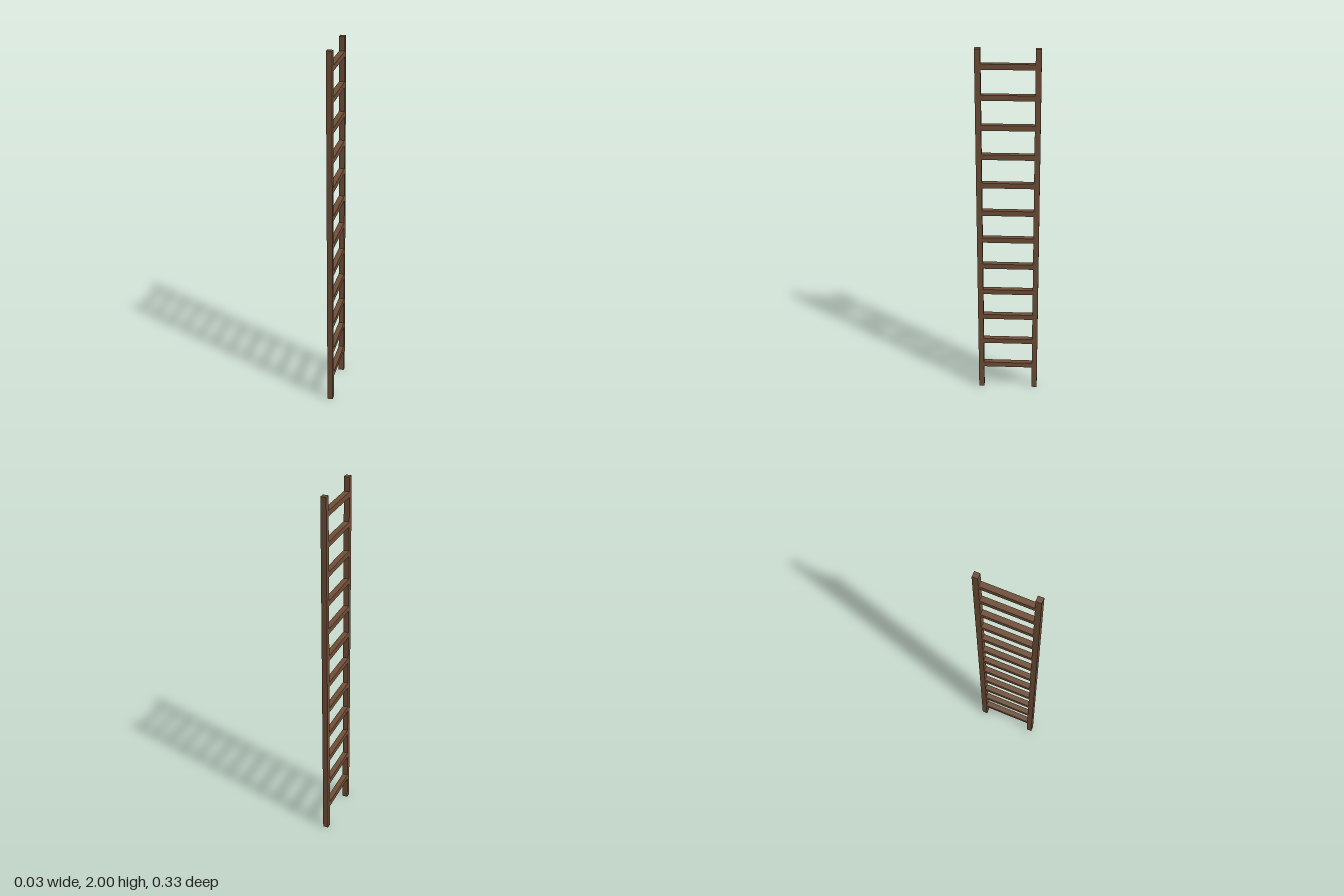
import * as THREE from 'three';

export function createModel() {
  const ladder = new THREE.Group();
  ladder.name = 'ladder';
  const wood = new THREE.MeshStandardMaterial({ color: 0x6f4e37 });
  wood.name = 'brown wood';

  const thick = 0.03, railZ = 0.152, rungCount = 12;

  function addBeam(name, height, depth, y, z) {
    const beam = new THREE.Mesh(new THREE.BoxGeometry(thick, height, depth), wood);
    beam.name = name;
    beam.position.set(0, y, z);
    ladder.add(beam);
  }

  // Two upright rails
  addBeam('frontRail', 2, thick, 1, railZ);
  addBeam('backRail', 2, thick, 1, -railZ);

  // Evenly spaced rungs between the rails
  for (let i = 0; i < rungCount; i++) {
    addBeam(`rung${i + 1}`, 0.029, 2 * railZ - thick, 0.149 + i * 0.16, 0);
  }
  return ladder;
}
